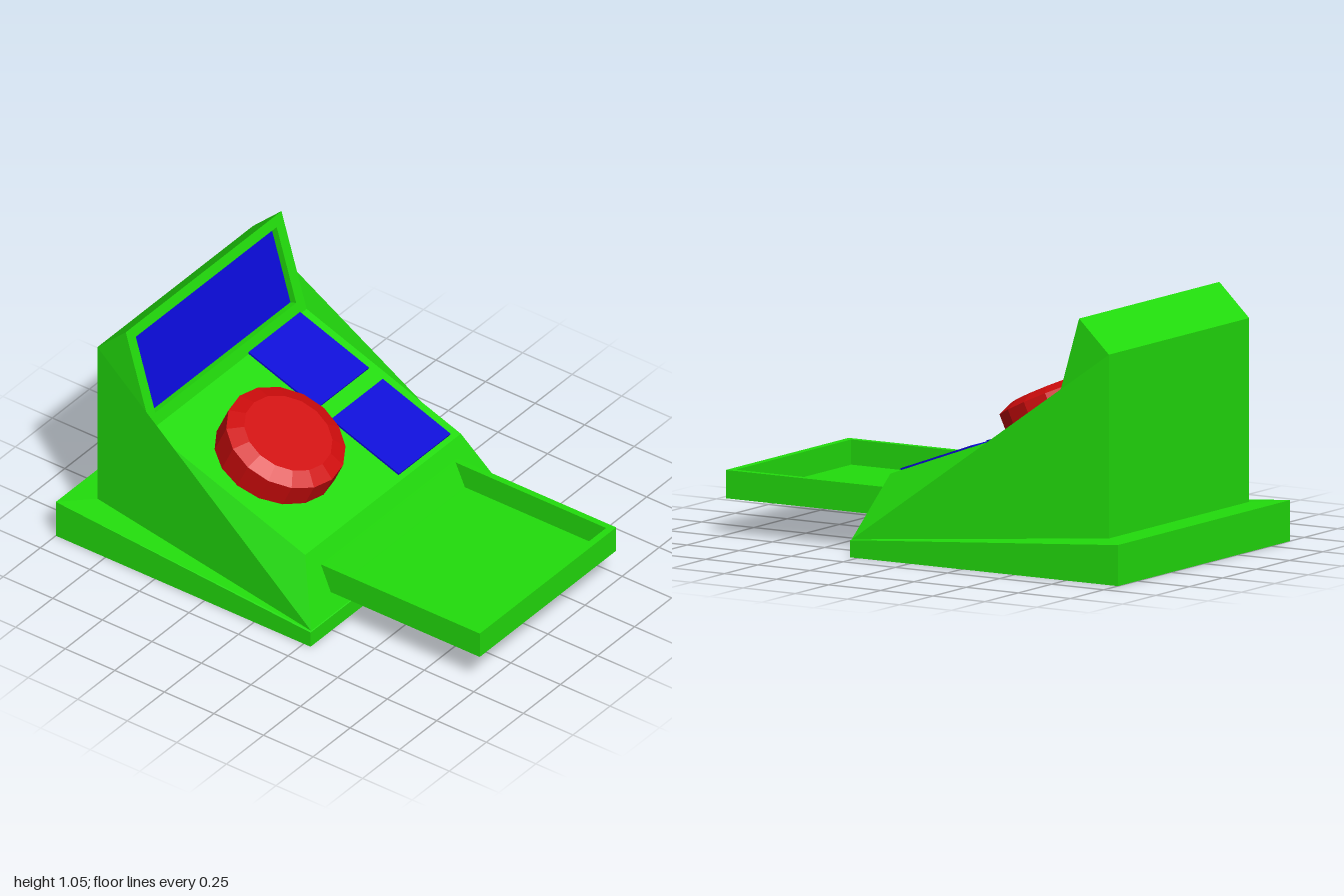
import * as THREE from 'three';

const green = new THREE.MeshStandardMaterial({ color: 0x22dd0c, side: THREE.DoubleSide, flatShading: true });
green.name = 'casing green';
const blue = new THREE.MeshStandardMaterial({ color: 0x0a0ad8, side: THREE.DoubleSide, flatShading: true });
blue.name = 'panel blue';
const red = new THREE.MeshStandardMaterial({ color: 0xd00c0c, flatShading: true });
red.name = 'dial red';

// Mesh from flat convex polygons, each a list of [x, y, z] corners
function polyMesh(name, polys, material) {
  const pos = [];
  for (const p of polys)
    for (let i = 1; i < p.length - 1; i++) pos.push(...p[0], ...p[i], ...p[i + 1]);
  const g = new THREE.BufferGeometry();
  g.setAttribute('position', new THREE.Float32BufferAttribute(pos, 3));
  g.computeVertexNormals();
  const m = new THREE.Mesh(g, material);
  m.name = name;
  return m;
}

// Quads joining two rings of equal length
const band = (a, b) => a.map((p, i) => {
  const j = (i + 1) % a.length;
  return [p, a[j], b[j], b[i]];
});

// Strip across the width between two profile points [x, y, half width]
const across = (p, q) => [[p[0], p[1], p[2]], [q[0], q[1], q[2]], [q[0], q[1], -q[2]], [p[0], p[1], -p[2]]];

const at = (p, s) => [p[0], p[1], s * p[2]];
const mirrored = (polys) => [1, -1].flatMap((s) =>
  polys.map((poly) => { const r = poly.map((p) => at(p, s)); return s > 0 ? r : r.reverse(); }));

// Rectangle ring in a plane across the width
const ring = (p, q, w) => [[p[0], p[1], w], [q[0], q[1], w], [q[0], q[1], -w], [p[0], p[1], -w]];

export function createModel() {
  const model = new THREE.Group();
  model.name = 'console';

  // Console profile, each point [x, y, half width]
  const A = [-0.88, 0.167, 0.525], B = [-0.88, 0.92, 0.525], C = [-0.737, 1.055, 0.525];
  const D = [-0.61, 0.623, 0.525], E = [0.168, 0.337, 0.525], F = [0.282, 0.073, 0.637];

  // Hollow wedge base, open underneath
  const foot = [[-1, 0, 0.645], [0.285, 0, 0.645], [0.285, 0, -0.645], [-1, 0, -0.645]];
  const ledge = foot.map(([x, , z]) => [x, x < 0 ? 0.168 : 0.07, z]);
  const inner = [at(A, 1), at(F, 1), at(F, -1), at(A, -1)];
  model.add(polyMesh('base', [...band(foot, ledge), ...band(ledge, inner)], green));

  // Console shell: flared sides, back, top bevel, sloping panel and front
  model.add(polyMesh('consoleSides', mirrored([[B, D, C].map((p) => p), [A, F, B], [B, F, D], [D, F, E]]), green));
  model.add(polyMesh('consoleShell', [across(B, A), across(C, B), across(E, D), across(F, E)], green));

  // Screen frame with a recessed screen
  const along = (t) => [C[0] + (D[0] - C[0]) * t, C[1] + (D[1] - C[1]) * t];
  const sink = (p) => [p[0] - 0.029, p[1] - 0.0085];
  const top = along(0.105), bottom = along(0.88);
  const frame = ring(D, C, 0.525), opening = ring(bottom, top, 0.475);
  const recess = ring(sink(bottom), sink(top), 0.475);
  model.add(polyMesh('screenFrame', [...band(frame, opening), ...band(opening, recess)], green));
  model.add(polyMesh('screen', [recess], blue));

  // Two thin blue panels on the slope
  const slope = Math.atan2(E[1] - D[1], E[0] - D[0]);
  [[-0.612, -0.265], [-0.195, 0.147]].forEach(([x0, x1], i) => {
    const x = (x0 + x1) / 2;
    const y = D[1] + Math.tan(slope) * (x - D[0]);
    const plate = new THREE.Mesh(new THREE.BoxGeometry((x1 - x0) / Math.cos(slope), 0.009, 0.347), blue);
    plate.name = i ? 'lowerPanel' : 'upperPanel';
    plate.position.set(x, y + 0.005, -0.308);
    plate.rotation.z = slope;
    model.add(plate);
  });

  // Tilted sixteen-sided dial with a bevelled top
  const profile = [[0, -0.15], [0.257, -0.15], [0.257, 0], [0.19, 0.03], [0, 0.03]];
  const dial = new THREE.Mesh(new THREE.LatheGeometry(profile.map((p) => new THREE.Vector2(...p)), 16), red);
  dial.name = 'dial';
  dial.position.set(-0.168, 0.593, 0.206);
  dial.rotation.z = THREE.MathUtils.degToRad(-24.8);
  model.add(dial);

  // Open tray fixed to the sloping front
  const rect = (x0, x1, y, w) => [[x0, y, w], [x1, y, w], [x1, y, -w], [x0, y, -w]];
  const under = rect(0.248, 1, 0.15, 0.46), rim = rect(0.198, 1, 0.266, 0.46);
  const lip = rect(0.211, 0.97, 0.266, 0.432), floor = rect(0.258, 0.97, 0.163, 0.432);
  model.add(polyMesh('tray', [[...under].reverse(), ...band(under, rim), ...band(rim, lip), ...band(lip, floor), floor], green));

  return model;
}
